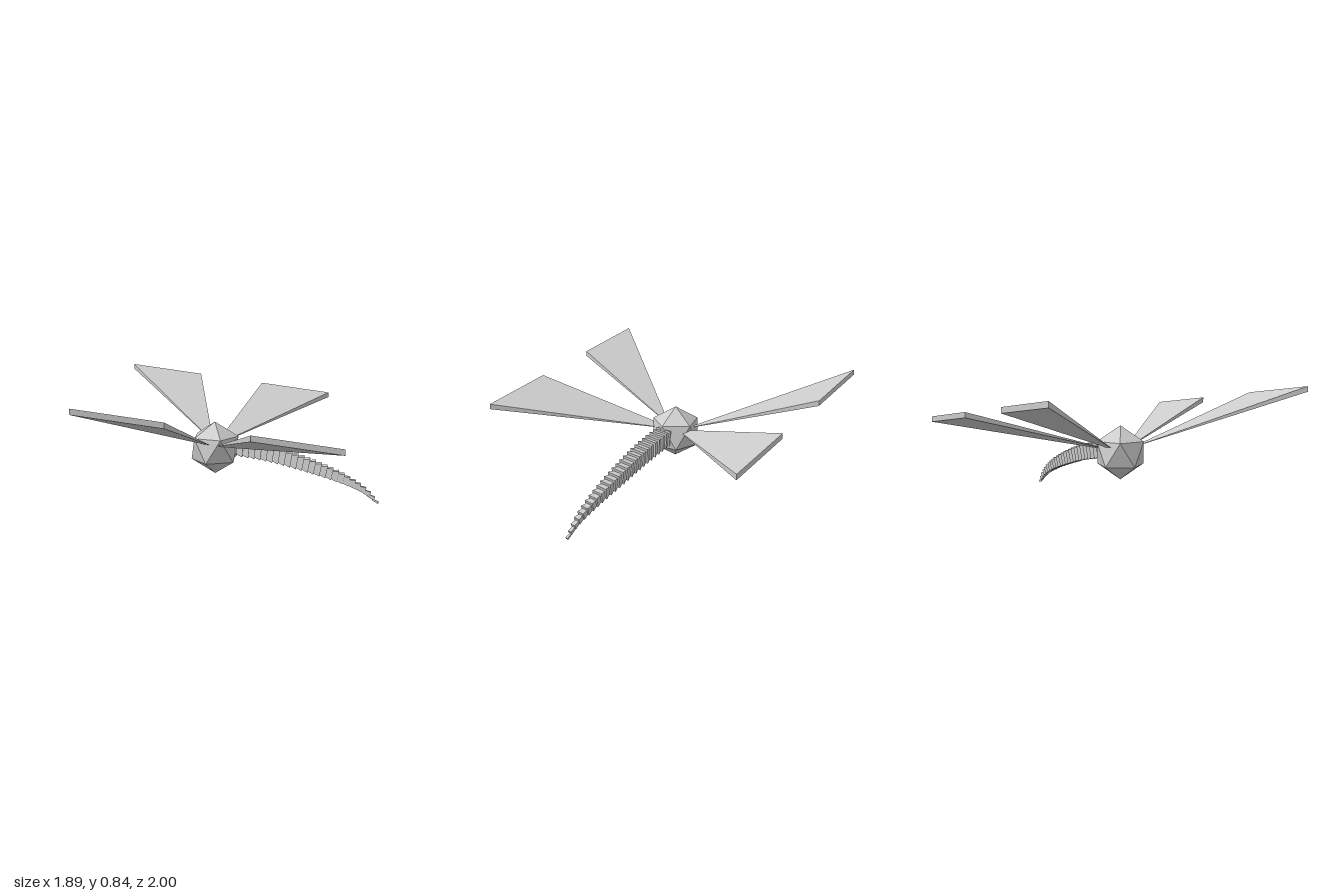
import * as THREE from 'three';
import { ConvexGeometry } from 'three/addons/geometries/ConvexGeometry.js';

const material = new THREE.MeshStandardMaterial({ color: 0xcccccc, flatShading: true });

function addMesh(parent, name, geometry) {
  const mesh = new THREE.Mesh(geometry, material);
  mesh.name = name;
  parent.add(mesh);
  return mesh;
}

// Thin wedge wing: a point inside the body widening to a flat, thick outer edge
function wingGeometry(apex, outerA, outerB, thickness, side) {
  const points = [new THREE.Vector3(apex[0], apex[1], apex[2] * side)];
  for (const [x, top] of [outerA, outerB]) {
    for (const drop of [0, thickness]) points.push(new THREE.Vector3(x, top - drop, side));
  }
  return new ConvexGeometry(points);
}

// Square frustum pointing along +x, flaring from its inner to its outer end
function tailSegmentGeometry(innerHalf, outerHalf, length) {
  const g = new THREE.CylinderGeometry(outerHalf * Math.SQRT2, innerHalf * Math.SQRT2, length, 4);
  g.rotateY(Math.PI / 4);
  g.rotateZ(-Math.PI / 2);
  return g;
}

export function createModel() {
  const model = new THREE.Group();
  model.name = 'wingedCreature';

  // Body: icosahedron standing on a vertex
  const bodyGeometry = new THREE.IcosahedronGeometry(0.185, 0);
  bodyGeometry.rotateZ(-Math.atan(2 / (1 + Math.sqrt(5))));
  addMesh(model, 'body', bodyGeometry).position.set(-0.2, 0.402, 0);

  // Two pairs of wings, mirrored across z
  for (const [side, label] of [[1, 'Front'], [-1, 'Back']]) {
    addMesh(model, 'raisedWing' + label,
      wingGeometry([-0.215, 0.425, 0.06], [-0.945, 0.855], [-0.4, 0.78], 0.037, side));
    addMesh(model, 'loweredWing' + label,
      wingGeometry([-0.205, 0.41, 0.015], [0.095, 0.71], [0.635, 0.635], 0.037, side));
  }

  // Tail: overlapping square segments along a drooping curve
  const tail = new THREE.Group();
  tail.name = 'tail';
  model.add(tail);
  const path = new THREE.CatmullRomCurve3([
    [-0.09, 0.41, 0], [0.03, 0.395, -0.003], [0.22, 0.355, 0], [0.5, 0.268, 0.008],
    [0.7, 0.19, 0.018], [0.85, 0.108, 0.027], [0.94, 0.022, 0.032],
  ].map((p) => new THREE.Vector3(...p)));
  const count = 26;
  for (let i = 0; i < count; i++) {
    const start = path.getPointAt(i / count);
    const end = path.getPointAt((i + 1) / count);
    const half = 0.005 + 0.054 * Math.pow(1 - Math.pow((i + 0.5) / count, 2.2), 0.9);
    const length = start.distanceTo(end);
    const segment = addMesh(tail, 'tailSegment' + (i + 1),
      tailSegmentGeometry(half * 0.72, half, length * 1.1));
    segment.position.copy(start).add(end).multiplyScalar(0.5);
    const slope = Math.atan2(end.y - start.y, end.x - start.x);
    segment.rotation.set(-0.09, 0, slope * 0.6);
  }
  return model;
}
